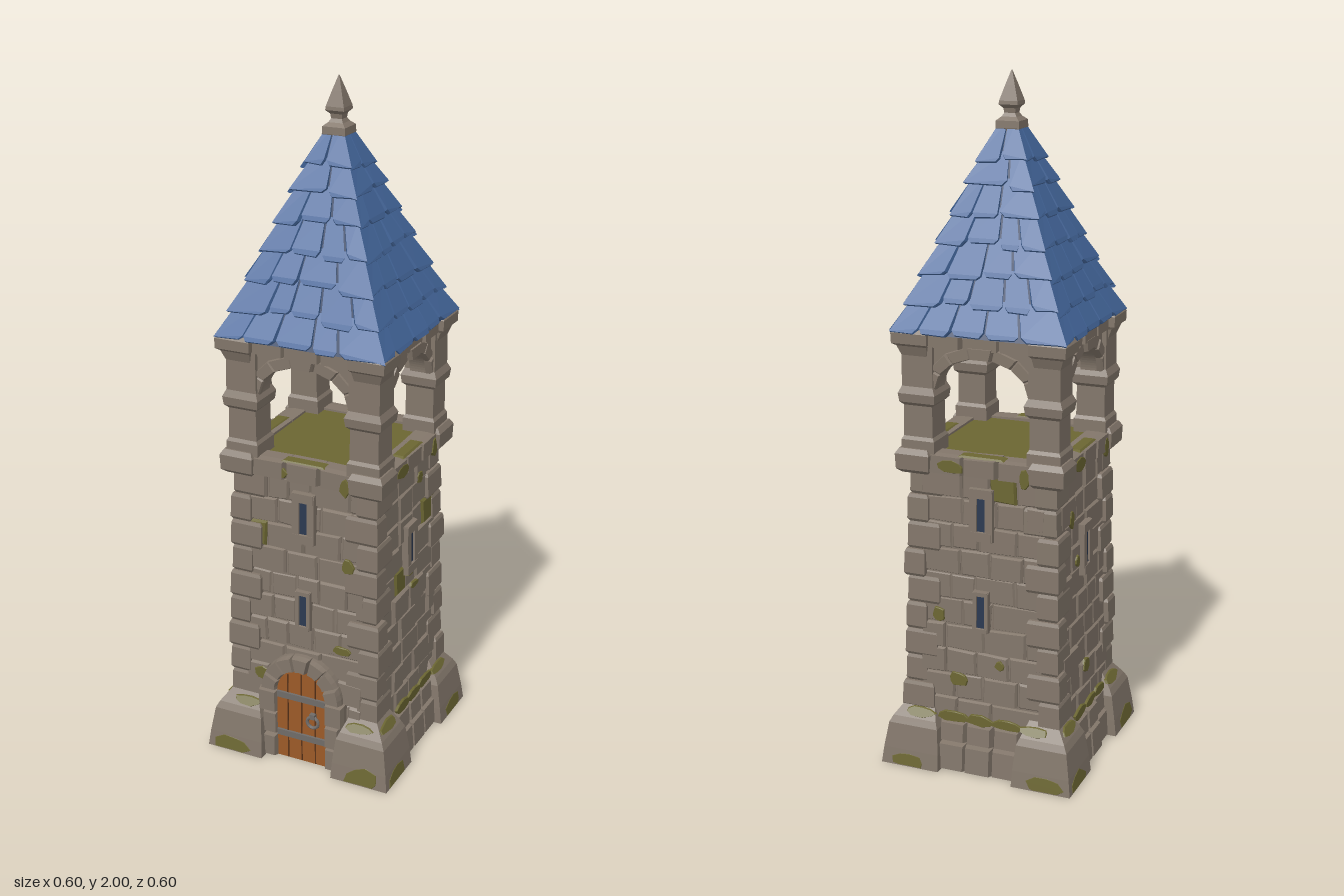
import * as THREE from 'three';
import { mergeGeometries } from 'three/addons/utils/BufferGeometryUtils.js';

const colours = {
  stone: 0x82766a, moss: 0x6b6632, slate: 0x44679c, darkSlate: 0x2b4064,
  doorWood: 0x9c5a28, iron: 0x6f6b68, groove: 0x5a3318, slitShade: 0x2a3850,
};
const mats = {};
for (const [name, color] of Object.entries(colours)) {
  mats[name] = new THREE.MeshStandardMaterial({ color });
  mats[name].name = name;
}

let seed = 7;
const rnd = (a = 0, b = 1) => {
  seed = (seed * 16807) % 2147483647;
  return a + (b - a) * (seed / 2147483647);
};
const lerp = THREE.MathUtils.lerp;

// Closed solid through rings of points, each counterclockwise seen from the last ring
function loft(rings) {
  const out = [], n = rings[0].length, last = rings[rings.length - 1];
  const tri = (...ps) => ps.forEach(p => out.push(...p));
  for (let i = 0; i + 1 < rings.length; i++) for (let k = 0; k < n; k++) {
    const m = (k + 1) % n, a = rings[i][k], b = rings[i][m], c = rings[i + 1][m], d = rings[i + 1][k];
    tri(a, b, c); tri(a, c, d);
  }
  for (let k = 1; k + 1 < n; k++) {
    tri(last[0], last[k], last[k + 1]);
    tri(rings[0][0], rings[0][k + 1], rings[0][k]);
  }
  const g = new THREE.BufferGeometry();
  g.setAttribute('position', new THREE.Float32BufferAttribute(out, 3));
  return g;
}

// Point on one of the four sides: 0 front, 1 left (+x), 2 back, 3 right
function at(side, u, y, r) {
  return [[u, y, r], [r, y, -u], [-u, y, -r], [-r, y, u]][side];
}

// Chamfered plate on a side; base(y) is the wall distance, t how far it stands out
function slab(side, pts, base, t, inset = 0.006, back = -0.012) {
  const cu = pts.reduce((s, p) => s + p[0], 0) / pts.length;
  const cy = pts.reduce((s, p) => s + p[1], 0) / pts.length;
  const inner = pts.map(([u, y]) => {
    const k = 1 - Math.min(0.6, inset / Math.hypot(u - cu, y - cy));
    return [cu + (u - cu) * k, cy + (y - cy) * k];
  });
  const ring = (ps, d) => ps.map(([u, y]) => at(side, u, y, base(y) + d));
  return loft([ring(pts, back), ring(pts, back + (t - back) * 0.65), ring(inner, t)]);
}
const quad = (u0, u1, y0, y1, j = 0) => [[u0, y0], [u1, y0], [u1, y1], [u0, y1]]
  .map(([u, y]) => [u + rnd(-j, j), y + rnd(-j, j)]);

// Upright block from levels [y, x0, x1, z0, z1]
const stack = levels => loft(levels.map(([y, x0, x1, z0, z1]) =>
  [[x0, y, z1], [x1, y, z1], [x1, y, z0], [x0, y, z0]]));
const square = (levels, cx = 0, cz = 0) =>
  stack(levels.map(([y, h]) => [y, cx - h, cx + h, cz - h, cz + h]));
// Corner block from levels [y, inner, outerX, innerZ, outerZ], mirrored by signs
const corner = (sx, sz, levels) => stack(levels.map(([y, a, b, c = a, d = b]) =>
  [y, Math.min(sx * a, sx * b), Math.max(sx * a, sx * b), Math.min(sz * c, sz * d), Math.max(sz * c, sz * d)]));
const corners = [[1, 1], [1, -1], [-1, -1], [-1, 1]];
const sides = [0, 1, 2, 3];

// Irregular thin moss patch
function patch(side, u, y, w, h, base, d) {
  const pts = Array.from({ length: 9 }, (_, i) => {
    const a = i / 9 * Math.PI * 2, k = rnd(0.75, 1.1);
    return [u + Math.cos(a) * w * k, Math.max(0.002, y + Math.sin(a) * h * k)];
  });
  return slab(side, pts, base, d, 0.002, d - 0.008);
}

const wall = y => lerp(0.234, 0.211, y / 0.92);
const roofPts = [[1.3, 0.248], [1.4, 0.204], [1.5, 0.165], [1.6, 0.124], [1.7, 0.086], [1.8, 0.047], [1.87, 0.02]];
function roofHalf(y) {
  let i = 0;
  while (i < roofPts.length - 2 && y > roofPts[i + 1][0]) i++;
  const [a, b] = [roofPts[i], roofPts[i + 1]];
  return lerp(a[1], b[1], (y - a[0]) / (b[0] - a[0]));
}

export function createModel() {
  seed = 7;
  const model = new THREE.Group();
  model.name = 'bellTower';
  const add = (name, mat, geos) => {
    const g = mergeGeometries(geos.map(src => {
      const q = src.index ? src.toNonIndexed() : src;
      q.deleteAttribute('uv'); q.deleteAttribute('normal');
      return q;
    }));
    g.computeVertexNormals();
    const m = new THREE.Mesh(g, mats[mat]);
    m.name = name;
    model.add(m);
  };

  // Tower core and coursed wall stones
  add('towerCore', 'stone', [square([[0, wall(0)], [0.92, wall(0.92)]])]);
  const stones = [], mossy = [], quoins = [];
  const rows = 10, y0 = 0.14, rowH = (0.905 - y0) / rows;
  for (const s of sides) for (let i = 0; i < rows; i++) {
    const y = y0 + i * rowH;
    for (let u = -0.19; u < 0.185;) {
      let e = u + rnd(0.065, 0.135);
      if (e > 0.15) e = 0.19;
      const g = slab(s, quad(u + 0.001, e - 0.001, y + 0.001, y + rowH - 0.001, 0.003), wall, rnd(0.003, 0.012), 0.007);
      (rnd() < 0.035 ? mossy : stones).push(g);
      u = e;
    }
  }
  // Alternating corner stones
  corners.forEach(([sx, sz], c) => {
    for (let i = 0; i < 9; i++) {
      const y = 0.17 + i * 0.082, o = wall(y) + rnd(0.008, 0.02), q = o - 0.006;
      const long = (i + c) % 2, a = o - (long ? 0.1 : 0.065), b = o - (long ? 0.065 : 0.1);
      quoins.push(corner(sx, sz, [[y, a + 0.005, q, b + 0.005, q], [y + 0.009, a, o, b, o],
        [y + 0.072, a, o - 0.002, b, o - 0.002], [y + 0.082, a + 0.005, q, b + 0.005, q]]));
    }
  });
  add('wallStones', 'stone', stones);
  add('cornerStones', 'stone', quoins);

  // Corner buttresses and plinth between them
  const buttLevels = [[0, 0.115, 0.296], [0.05, 0.117, 0.29], [0.125, 0.124, 0.278], [0.145, 0.132, 0.268], [0.19, 0.15, 0.236]];
  add('buttresses', 'stone', corners.map(([sx, sz]) => corner(sx, sz, buttLevels)));
  const plinth = [];
  for (const s of [1, 2, 3]) for (let i = 0; i < 3; i++) {
    const u = -0.125 + i * 0.0833, t = rnd(-0.006, 0.004);
    plinth.push(slab(s, quad(u, u + 0.082, 0, 0.085), y => 0.276 - y * 0.08, t, 0.006, -0.06));
    plinth.push(slab(s, quad(u, u + 0.082, 0.086, 0.15), y => 0.27 - y * 0.08, t, 0.008, -0.06));
    mossy.push(patch(s, u + 0.04, 0.165, 0.05, 0.018, y => 0.25, 0.004));
  }
  add('plinth', 'stone', plinth);

  // Moss on buttress feet, shoulders, walls and ledge
  const butt = y => 0.296 - y * 0.14;
  for (const s of sides) {
    for (const k of [-1, 1]) {
      mossy.push(patch(s, k * 0.215, 0.015, 0.06, rnd(0.03, 0.05), butt, 0.002));
      mossy.push(patch(s, k * rnd(0.17, 0.2), 0.165, 0.05, 0.014, y => 0.258 - (y - 0.16) * 0.7, 0.004));
    }
    for (let i = 0; i < 3; i++) mossy.push(patch(s, rnd(-0.17, 0.17), rnd(0.25, 0.85), rnd(0.015, 0.035), rnd(0.01, 0.03), wall, 0.014));
    mossy.push(patch(s, -0.09, 0.925, 0.045, 0.022, () => 0.242, 0.002));
    mossy.push(patch(s, 0.135, 0.915, 0.018, 0.03, () => 0.244, 0.002));
  }

  // Belfry ledge, floor and pillars
  const ledge = corners.map(([sx, sz]) => corner(sx, sz,
    [[0.893, 0.16, 0.238], [0.905, 0.152, 0.252], [0.95, 0.15, 0.254], [0.966, 0.158, 0.244]]));
  for (const s of sides) for (let i = 0; i < 3; i++) {
    const u = -0.156 + i * 0.104;
    ledge.push(slab(s, quad(u, u + 0.103, 0.9, 0.957, 0.002), () => 0.235, rnd(0.004, 0.01), 0.007, -0.055));
    mossy.push(stack([[0.955, -0.07, 0.07, -0.02, 0.02], [0.96, -0.06, 0.06, -0.015, 0.015]])
      .translate(0, 0, 0.215).rotateY(s * Math.PI / 2));
  }
  add('belfryLedge', 'stone', ledge);
  add('belfryFloor', 'moss', [square([[0.915, 0.2], [0.95, 0.2]])]);
  add('mossPatches', 'moss', mossy);
  add('pillars', 'stone', corners.map(([sx, sz]) => square([[0.95, 0.05], [0.99, 0.05], [1.0, 0.044],
    [1.09, 0.043], [1.1, 0.053], [1.125, 0.056], [1.145, 0.047], [1.27, 0.046]], sx * 0.189, sz * 0.189)));

  // Arches with raised arch stones and keystones
  const arches = [], archStones = [], cornice = [];
  for (const s of sides) {
    const sh = new THREE.Shape();
    sh.moveTo(-0.222, 1.14);
    sh.lineTo(-0.138, 1.14);
    sh.absellipse(0, 1.14, 0.138, 0.1, Math.PI, 0, true);
    sh.lineTo(0.222, 1.14);
    sh.lineTo(0.222, 1.295);
    sh.lineTo(-0.222, 1.295);
    arches.push(new THREE.ExtrudeGeometry(sh, { depth: 0.062, bevelEnabled: false, curveSegments: 20 })
      .translate(0, 0, 0.16).rotateY(s * Math.PI / 2));
    for (let i = 0; i < 7; i++) {
      const a = i / 7 * Math.PI, b = (i + 1) / 7 * Math.PI;
      const p = (t, k) => [Math.cos(t) * (0.137 + k), 1.14 + Math.sin(t) * (0.099 + k)];
      archStones.push(slab(s, [p(a, 0), p(a, 0.036), p(b, 0.036), p(b, 0)], () => 0.222, i === 3 ? 0.018 : rnd(0.005, 0.01), 0.005));
    }
    for (let i = 0; i < 3; i++) {
      const u = -0.165 + i * 0.11;
      cornice.push(slab(s, quad(u, u + 0.109, 1.262, 1.305), () => 0.23, rnd(0.004, 0.016), 0.006, -0.06));
    }
  }
  for (const [sx, sz] of corners) cornice.push(corner(sx, sz,
    [[1.225, 0.16, 0.232], [1.262, 0.155, 0.246], [1.27, 0.15, 0.257], [1.3, 0.15, 0.258], [1.312, 0.158, 0.25]]));
  add('arches', 'stone', arches);
  add('archStones', 'stone', archStones);
  add('cornice', 'stone', cornice);
  add('belfryCeiling', 'stone', [square([[1.265, 0.2], [1.3, 0.225]])]);

  // Roof: dark core under overlapping, mitred slates
  add('roofCore', 'darkSlate', [square(roofPts.map(([y, h]) => [y, h]))]);
  const slates = [], courses = [1.305, 1.385, 1.465, 1.545, 1.625, 1.7, 1.77, 1.86];
  for (const s of sides) for (let i = 0; i + 1 < courses.length; i++) {
    const n = [5, 5, 4, 4, 3, 2, 2][i], cut = [-1];
    for (let k = 1; k < n; k++) cut.push(-1 + 2 * (k + (i % 2 ? 0.2 : -0.2) + rnd(-0.15, 0.15)) / n);
    cut.push(1);
    const top = Math.min(courses[i + 1] + 0.015, 1.865);
    for (let k = 0; k < n; k++) {
      const lo = courses[i] - rnd(0, i ? 0.018 : 0.006), thick = rnd(0.011, 0.016);
      const gap = 0.004 / roofHalf(lo), a = cut[k] + (k ? gap : 0), b = cut[k + 1] - (k < n - 1 ? gap : 0);
      const chip = (b - a) * 0.12;
      const pts = [[a, lo + (k ? 0.012 : 0)], [a + chip, lo], [b - chip, lo + rnd(-0.003, 0.004)],
        [b, lo + (k < n - 1 ? 0.012 : 0)], [b, top], [a, top]];
      const ring = (d, lift) => pts.map(([f, y], j) => {
        const r = roofHalf(y) + (j > 3 ? Math.min(d, 0.001) : d);
        return at(s, f * r, y + lift * (j < 4 ? 1 : 0), r);
      });
      slates.push(loft([ring(-0.008, 0), ring(thick * 0.7, 0), ring(thick, 0.004)]));
    }
  }
  add('roofSlates', 'slate', slates);
  add('finial', 'stone', [square([[1.835, 0.03], [1.845, 0.035], [1.865, 0.034], [1.875, 0.022], [1.885, 0.016],
    [1.898, 0.018], [1.908, 0.028], [1.918, 0.027], [1.96, 0.014], [2, 0.001]])]);

  // Arrow slits: two on front and back, one on each flank
  const panes = [], frames = [];
  for (const s of sides) for (const y of s % 2 ? [0.65] : [0.79, 0.5]) {
    const tall = s % 2 || y > 0.7, fw = tall ? 0.036 : 0.024, fh = tall ? 0.078 : 0.062;
    panes.push(slab(s, quad(-0.013, 0.013, y - 0.05, y + 0.05), wall, 0.016, 0.001, 0.008));
    for (const k of [-1, 1]) {
      frames.push(slab(s, quad(Math.min(k * 0.012, k * fw), Math.max(k * 0.012, k * fw), y - fh, y + fh), wall, 0.022, 0.004));
      const e = [y + k * 0.048, y + k * fh].sort((a, b) => a - b);
      frames.push(slab(s, quad(-fw, fw, e[0], e[1]), wall, 0.023, 0.004));
    }
  }
  add('slitPanes', 'slitShade', panes);
  add('slitFrames', 'stone', frames);

  // Arched door with stone surround
  const doorZ = 0.25, arc = (r, a, b, n) => Array.from({ length: n + 1 }, (_, i) =>
    [Math.cos(lerp(a, b, i / n)) * r, 0.225 + Math.sin(lerp(a, b, i / n)) * r]);
  add('door', 'doorWood', [slab(0, [[-0.082, 0], [0.082, 0], ...arc(0.082, 0, Math.PI, 14)], () => doorZ, 0.002, 0.001)]);
  add('plankGrooves', 'groove', [-0.045, 0, 0.045].map(x =>
    slab(0, quad(x - 0.002, x + 0.002, 0.002, 0.295 - Math.abs(x) * 0.2), () => doorZ, 0.0035, 0.0003, 0)));
  const ringHandle = new THREE.TorusGeometry(0.018, 0.005, 8, 18).translate(0.04, 0.148, doorZ + 0.01);
  add('doorIron', 'iron', [0.085, 0.215].map(y =>
    slab(0, quad(-0.08, 0.08, y - 0.01, y + 0.01), () => doorZ, 0.009, 0.002, 0))
    .concat([ringHandle, new THREE.BoxGeometry(0.016, 0.016, 0.016).translate(0.04, 0.168, doorZ + 0.008)]));
  const surround = [];
  for (let i = 0; i < 7; i++) {
    const a = i / 7 * Math.PI, b = (i + 1) / 7 * Math.PI - 0.02;
    surround.push(slab(0, [...arc(0.13, a, b, 3), ...arc(0.08, b, a, 3)], () => 0.255, rnd(0.009, 0.015), 0.005, -0.04));
  }
  for (const k of [-1, 1]) for (let i = 0; i < 3; i++) {
    const e = [k * 0.08, k * (i % 2 ? 0.126 : 0.138)].sort((a, b) => a - b);
    surround.push(slab(0, quad(e[0], e[1], i * 0.075, i * 0.075 + 0.074), () => 0.255, rnd(0.008, 0.015), 0.006, -0.04));
  }
  add('doorSurround', 'stone', surround);
  return model;
}
